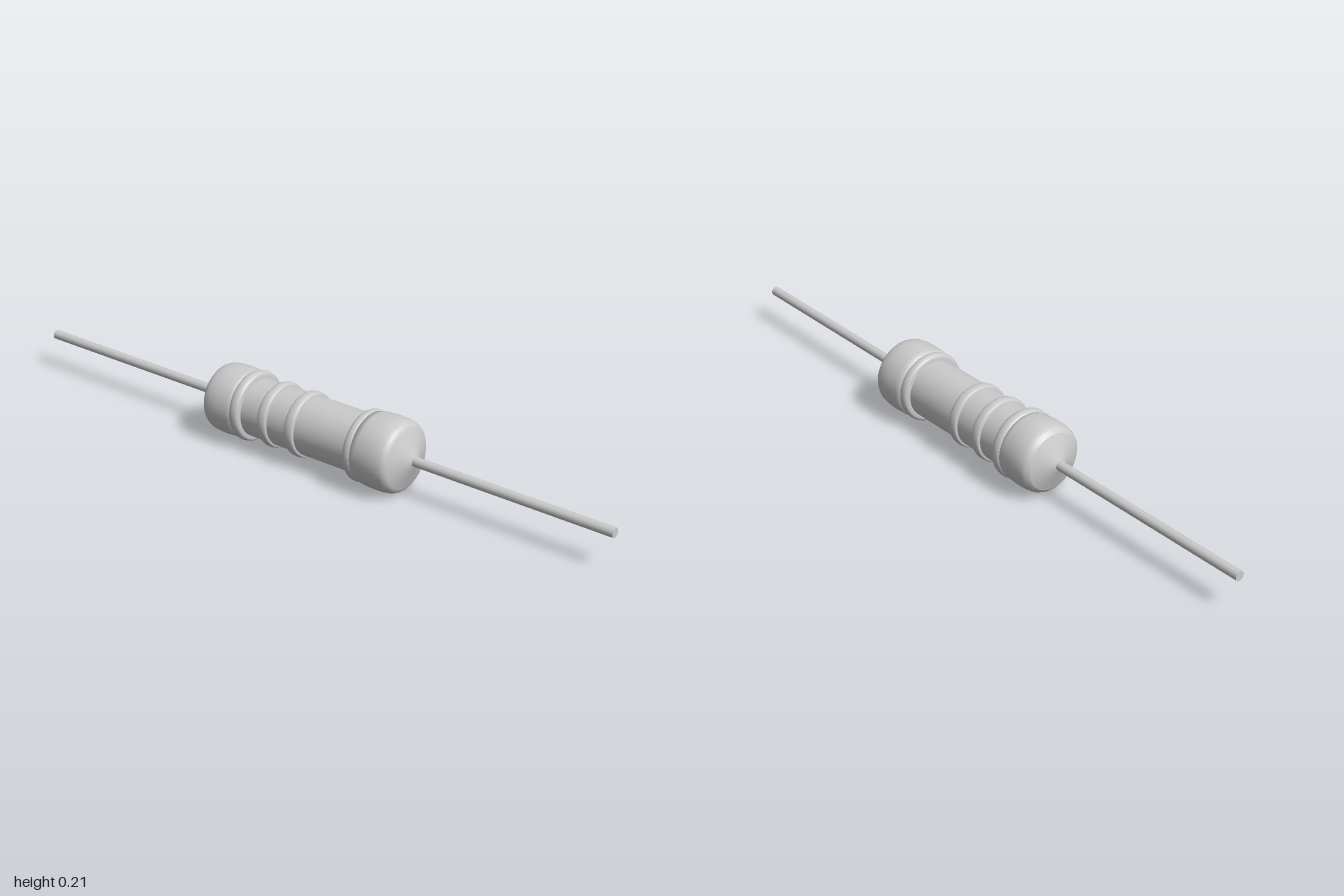
import * as THREE from 'three';

const AXIS_Y = 0.11;

export function createModel() {
  const model = new THREE.Group();
  const material = new THREE.MeshStandardMaterial({ color: 0xcccccc });

  // Turned part along z from [radius, z] pairs, given back to front
  function turned(name, profile, segments = 64) {
    const points = profile.map(([r, z]) => new THREE.Vector2(r, z));
    const geometry = new THREE.LatheGeometry(points, segments);
    geometry.rotateX(Math.PI / 2);
    const mesh = new THREE.Mesh(geometry, material);
    mesh.name = name;
    mesh.position.y = AXIS_Y;
    model.add(mesh);
  }

  // Rounded raised ring
  function ring(name, z, halfWidth, inner, outer) {
    const profile = [];
    for (let i = 0; i <= 10; i++) {
      const a = (Math.PI * i) / 10;
      profile.push([
        inner + (outer - inner) * Math.sqrt(Math.sin(a)),
        z - halfWidth * Math.cos(a),
      ]);
    }
    turned(name, profile);
  }

  // Swollen end cap with its shallow cone; dir is +1 for front, -1 for back
  function endCap(name, dir, edge, inner, radius) {
    const span = edge - inner;
    const order = (profile) => (dir > 0 ? profile : profile.reverse());
    const at = (r, z) => [r, dir * z];
    turned(name, order([
      at(0.08, inner),
      at(radius - 0.006, inner + 0.004),
      at(radius - 0.002, inner + span * 0.2),
      at(radius, inner + span * 0.5),
      at(radius - 0.001, inner + span * 0.7),
      at(radius - 0.004, edge - 0.018),
      at(radius - 0.009, edge - 0.008),
      at(radius - 0.016, edge - 0.002),
      at(0.085, edge),
    ]));
    turned(name + 'Cone', order([at(0.085, edge), at(0.014, edge + 0.028)]));
  }

  // Body
  turned('body', [[0.086, -0.2], [0.086, 0.23]]);
  endCap('frontCap', 1, 0.349, 0.225, 0.107);
  endCap('backCap', -1, 0.31, 0.19, 0.103);

  // Colour code bands
  ring('frontCapBand', 0.22, 0.016, 0.086, 0.104);
  ring('middleBand', 0.008, 0.016, 0.085, 0.096);
  ring('rearBand', -0.09, 0.016, 0.085, 0.096);
  ring('backCapBand', -0.187, 0.017, 0.086, 0.104);

  // Wire leads
  for (const [name, from, to] of [['frontLead', 0.33, 1], ['backLead', -1, -0.29]]) {
    const geometry = new THREE.CylinderGeometry(0.014, 0.014, to - from, 24);
    geometry.rotateX(Math.PI / 2);
    const lead = new THREE.Mesh(geometry, material);
    lead.name = name;
    lead.position.set(0, AXIS_Y + 0.001, (from + to) / 2);
    model.add(lead);
  }

  return model;
}
